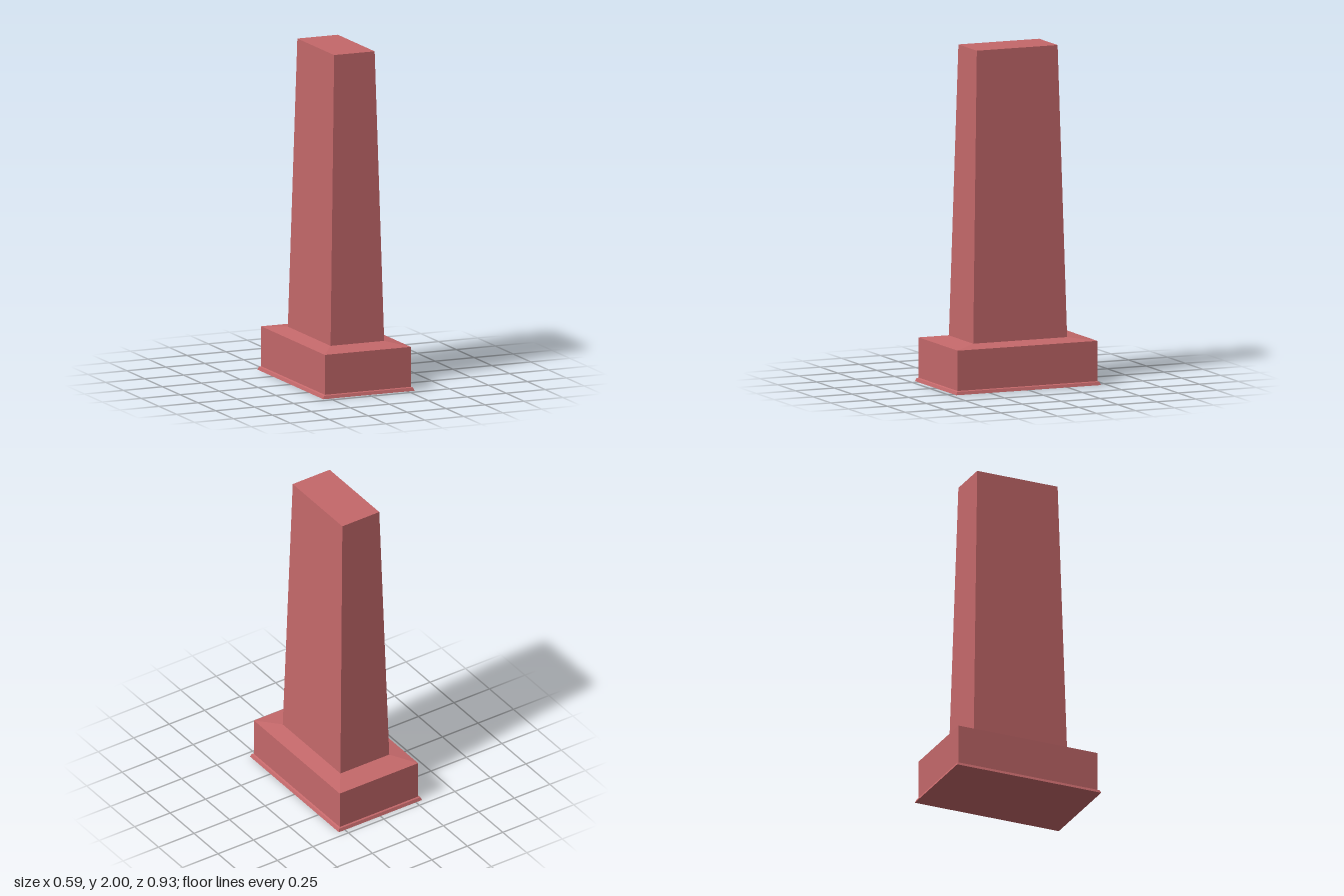
import * as THREE from 'three';

const material = new THREE.MeshStandardMaterial({ color: 0xc4686a, flatShading: true });

// Tapered block between two rectangles [halfWidth, y, halfDepth], with optional end faces.
function taper(name, [x0, y0, z0], [x1, y1, z1], { top = false, bottom = false } = {}) {
  const box = new THREE.BoxGeometry(2, 2, 2);
  const p = box.attributes.position;
  for (let i = 0; i < p.count; i++) {
    const up = p.getY(i) > 0;
    p.setXYZ(i, p.getX(i) * (up ? x1 : x0), up ? y1 : y0, p.getZ(i) * (up ? z1 : z0));
  }
  // Box faces come in the order +x, -x, top, bottom, +z, -z, six indices each
  const index = Array.from(box.index.array).filter((_, i) => {
    const face = Math.floor(i / 6);
    return (face !== 2 || top) && (face !== 3 || bottom);
  });
  box.clearGroups();
  box.setIndex(index);
  box.computeVertexNormals();
  const mesh = new THREE.Mesh(box, material);
  mesh.name = name;
  return mesh;
}

export function createModel() {
  const group = new THREE.Group();
  group.name = 'taperedPillar';

  // Corner rectangles from the ground up
  const foot = [0.293, 0, 0.464];
  const lip = [0.286, 0.018, 0.457];
  const plinthFoot = [0.276, 0.022, 0.448];
  const plinthTop = [0.276, 0.26, 0.448];
  const shaftFoot = [0.172, 0.277, 0.301];
  const shaftTop = [0.13, 2, 0.259];

  group.add(
    taper('skirting', foot, lip, { bottom: true }),
    taper('skirtingLedge', lip, plinthFoot),
    taper('plinth', plinthFoot, plinthTop),
    taper('plinthShoulder', plinthTop, shaftFoot),
    taper('shaft', shaftFoot, shaftTop, { top: true }),
  );
  return group;
}
